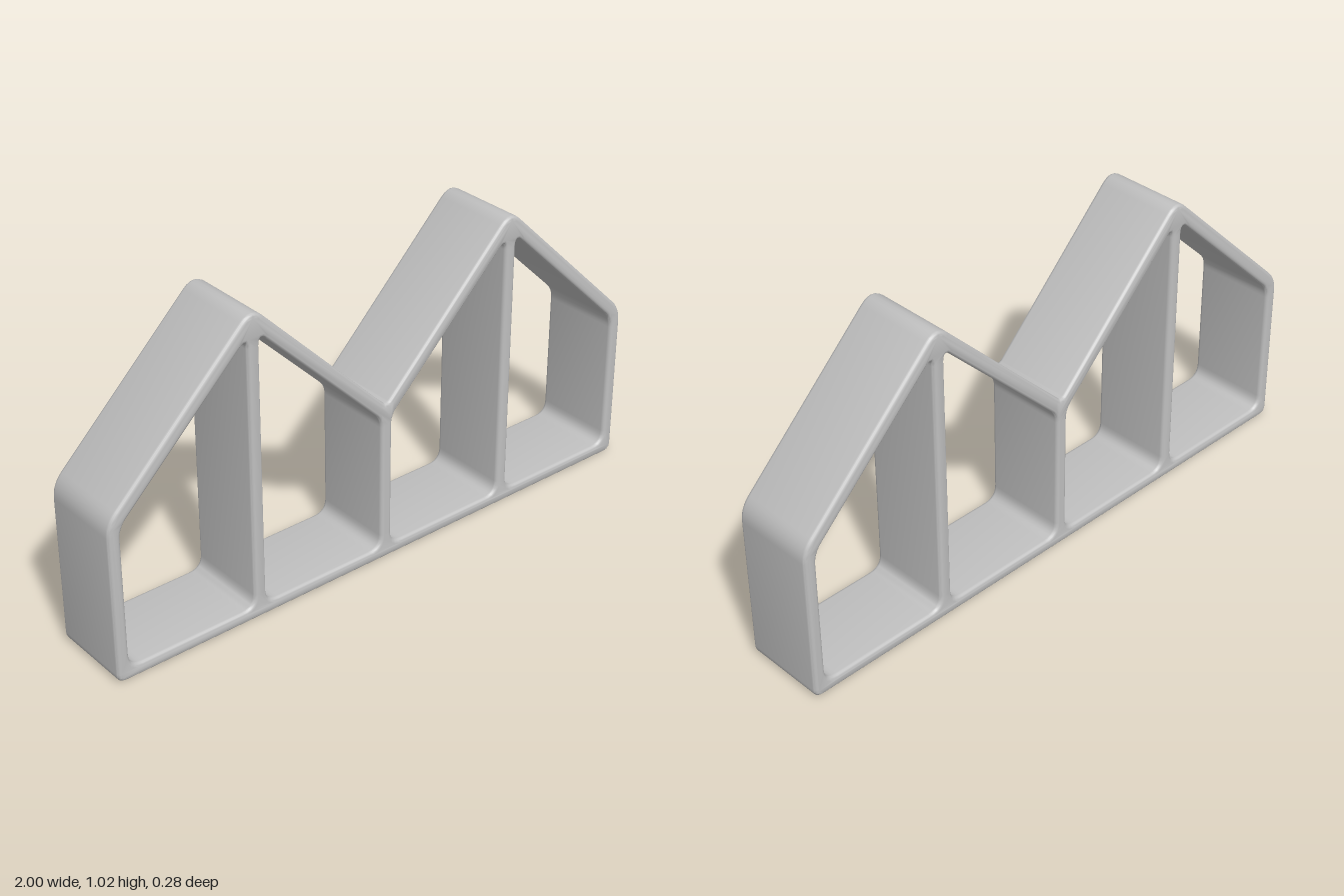
import * as THREE from 'three';
import { toCreasedNormals } from 'three/addons/utils/BufferGeometryUtils.js';

const DEPTH = 0.284;
const BEVEL = 0.013;

// Closed path through [x, y, cornerRadius] points, each corner rounded.
function roundedPath(points, PathType) {
  const path = new PathType();
  const n = points.length;
  points.forEach(([x, y, r], i) => {
    const corner = new THREE.Vector2(x, y);
    const towards = ([px, py]) =>
      new THREE.Vector2(px, py).sub(corner).setLength(r).add(corner);
    const a = towards(points[(i + n - 1) % n]);
    const b = towards(points[(i + 1) % n]);
    if (i === 0) path.moveTo(a.x, a.y);
    else path.lineTo(a.x, a.y);
    path.quadraticCurveTo(x, y, b.x, b.y);
  });
  path.closePath();
  return path;
}

const mirror = (points) => points.map(([x, y, r]) => [-x, y, r]).reverse();

export function createModel() {
  const group = new THREE.Group();
  group.name = 'doubleGableFrame';
  const grey = new THREE.MeshStandardMaterial({ color: 0xbfbfbf });
  grey.name = 'plain grey';

  // Outer silhouette: two gables side by side
  const outline = roundedPath([
    [-1, 0.005, 0.03], [1, 0.005, 0.03], [1, 0.545, 0.045],
    [0.488, 1.045, 0.055], [0, 0.55, 0.022], [-0.488, 1.045, 0.055],
    [-1, 0.545, 0.045],
  ], THREE.Shape);

  // Four openings, the left pair mirroring the right pair
  const innerOpening = [
    [0.021, 0.045, 0.045], [0.467, 0.045, 0.045],
    [0.467, 0.955, 0.035], [0.021, 0.508, 0.03],
  ];
  const outerOpening = [
    [0.51, 0.045, 0.045], [0.958, 0.045, 0.045],
    [0.958, 0.52, 0.035], [0.51, 0.955, 0.035],
  ];
  for (const opening of [innerOpening, outerOpening]) {
    outline.holes.push(roundedPath(opening, THREE.Path));
    outline.holes.push(roundedPath(mirror(opening), THREE.Path));
  }

  // Walls, posts, floor and roofs as one softly bevelled frame
  const geometry = new THREE.ExtrudeGeometry(outline, {
    depth: DEPTH - 2 * BEVEL,
    curveSegments: 6,
    bevelEnabled: true,
    bevelSize: BEVEL,
    bevelThickness: BEVEL,
    bevelOffset: -BEVEL,
    bevelSegments: 4,
  });
  geometry.translate(0, 0, -DEPTH / 2 + BEVEL);

  const frame = new THREE.Mesh(toCreasedNormals(geometry, 0.7), grey);
  frame.name = 'frame';
  group.add(frame);
  return group;
}
